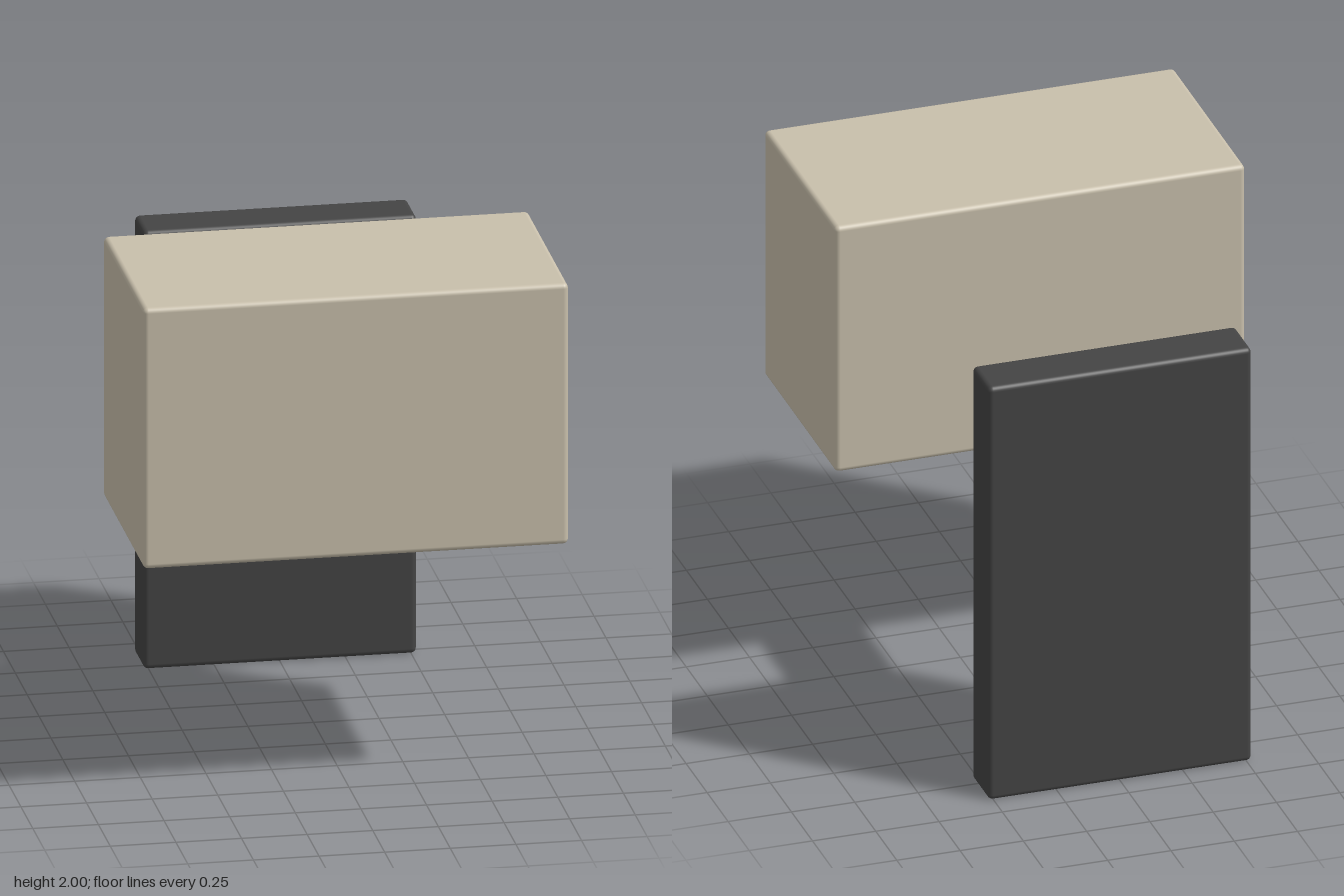
import * as THREE from 'three';
import { RoundedBoxGeometry } from 'three/addons/geometries/RoundedBoxGeometry.js';

const R = 0.02; // edge rounding

function addMesh(parent, name, geometry, material, x, y, z) {
  const mesh = new THREE.Mesh(geometry, material);
  mesh.name = name;
  mesh.position.set(x, y, z);
  parent.add(mesh);
  return mesh;
}

// Rounded box with the flat part of its underside left out
function openBottomBox(w, h, d) {
  const source = new RoundedBoxGeometry(w, h, d, 3, R);
  const p = source.attributes.position, n = source.attributes.normal;
  const positions = [], normals = [];
  const isFloor = (i) => p.getY(i) < -h / 2 + 1e-5;
  for (let i = 0; i < p.count; i += 3) {
    if (isFloor(i) && isFloor(i + 1) && isFloor(i + 2)) continue;
    for (let k = i; k < i + 3; k++) {
      positions.push(p.getX(k), p.getY(k), p.getZ(k));
      normals.push(n.getX(k), n.getY(k), n.getZ(k));
    }
  }
  const g = new THREE.BufferGeometry();
  g.setAttribute('position', new THREE.Float32BufferAttribute(positions, 3));
  g.setAttribute('normal', new THREE.Float32BufferAttribute(normals, 3));
  return g;
}

// Box facing inwards, without its bottom side
function cavity(w, h, d) {
  const box = new THREE.BoxGeometry(w, h, d);
  const index = Array.from(box.index.array);
  index.splice(18, 6);
  box.setIndex(index.reverse());
  box.clearGroups();
  box.computeVertexNormals();
  return box;
}

// Flat rectangular ring facing down
function rimRing(w, d, innerW, innerD) {
  const corners = (a, b) => [[-a, -b], [a, -b], [a, b], [-a, b]].map(([x, y]) => new THREE.Vector2(x / 2, y / 2));
  const shape = new THREE.Shape(corners(w, d));
  shape.holes.push(new THREE.Path(corners(innerW, innerD).reverse()));
  return new THREE.ShapeGeometry(shape).rotateX(Math.PI / 2);
}

export function createModel() {
  const model = new THREE.Group();
  model.name = 'wallLamp';
  const linen = new THREE.MeshStandardMaterial({ color: 0xc8bfab });
  linen.name = 'linen beige';
  const charcoal = new THREE.MeshStandardMaterial({ color: 0x444444 });
  charcoal.name = 'charcoal';
  const bronze = new THREE.MeshStandardMaterial({ color: 0x9b7b4b });
  bronze.name = 'bronze';

  // Wall plate
  addMesh(model, 'wallPlate', new RoundedBoxGeometry(1.04, 1.74, 0.2, 3, R), charcoal, 0, 0.87, -0.8);

  // Arm, running from the plate into the shade
  addMesh(model, 'arm', new RoundedBoxGeometry(0.26, 0.255, 1.03, 3, 0.01), bronze, 0, 1.163, -0.2);

  // Hollow shade, open underneath
  const w = 1.62, h = 1.035, d = 0.85, wall = 0.08;
  const shade = new THREE.Group();
  shade.name = 'shade';
  shade.position.set(0, 2 - h / 2, 0.475);
  model.add(shade);
  addMesh(shade, 'shadeShell', openBottomBox(w, h, d), linen, 0, 0, 0);
  addMesh(shade, 'shadeInside', cavity(w - 2 * wall, h - wall, d - 2 * wall), linen, 0, -wall / 2, 0);
  addMesh(shade, 'shadeRim', rimRing(w - 2 * R, d - 2 * R, w - 2 * wall, d - 2 * wall), linen, 0, -h / 2, 0);

  return model;
}
